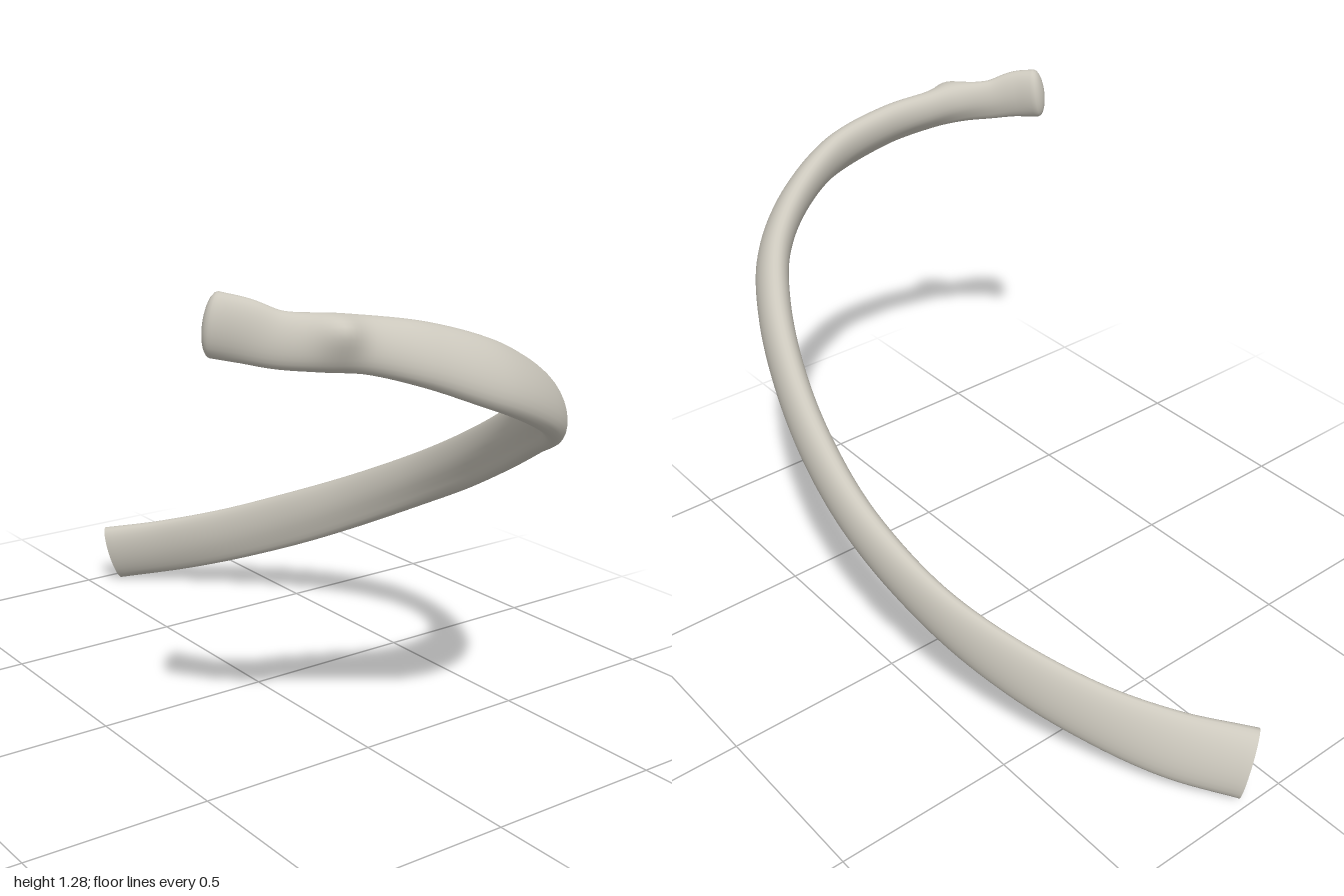
import * as THREE from 'three';

// Stations from the flat rear end to the knobbed head:
// [x, y, z, height, thickness, inward lean of the top edge]
const STATIONS = [
  [0.078, 0.1, -0.963, 0.2, 0.085, 0.3],
  [0.21, 0.14, -0.82, 0.192, 0.066, 0.25],
  [0.33, 0.2, -0.655, 0.18, 0.06, 0.15],
  [0.44, 0.285, -0.46, 0.172, 0.06, 0.08],
  [0.52, 0.385, -0.25, 0.16, 0.068, 0],
  [0.558, 0.51, 0, 0.152, 0.08, 0],
  [0.542, 0.622, 0.22, 0.152, 0.085, 0.05],
  [0.49, 0.735, 0.43, 0.15, 0.087, 0.1],
  [0.41, 0.84, 0.62, 0.15, 0.09, 0.2],
  [0.31, 0.92, 0.77, 0.16, 0.09, 0.35],
  [0.17, 1.0, 0.875, 0.168, 0.09, 0.5],
  [0, 1.08, 0.922, 0.168, 0.09, 0.55],
  [-0.17, 1.143, 0.89, 0.148, 0.085, 0.5],
  [-0.3, 1.174, 0.843, 0.128, 0.08, 0.35],
  [-0.4, 1.185, 0.808, 0.125, 0.075, 0.2],
  [-0.48, 1.192, 0.755, 0.125, 0.06, 0.1],
  [-0.535, 1.21, 0.705, 0.142, 0.065, 0],
  [-0.572, 1.218, 0.657, 0.146, 0.078, 0],
];
const RINGS = 136, SIDES = 28;

function makeGeometry(points, index) {
  const g = new THREE.BufferGeometry().setFromPoints(points);
  g.setIndex(index);
  g.computeVertexNormals();
  return g;
}

export function createModel() {
  const bone = new THREE.MeshStandardMaterial({ color: 0xccc8bd });
  bone.name = 'bone';
  const path = new THREE.CatmullRomCurve3(STATIONS.map((s) => new THREE.Vector3(s[0], s[1], s[2])));
  const sizes = new THREE.CatmullRomCurve3(
    STATIONS.map((s) => new THREE.Vector3(s[3], s[4], s[5])), false, 'catmullrom');
  const up = new THREE.Vector3(0, 1, 0);
  const knob = new THREE.Vector3(-0.385, 1.215, 0.855);
  const knobPush = new THREE.Vector3(-0.25, 0.35, 0.9).normalize();

  // One oval section with a shallow groove low on the inner side
  function ring(u, scale = 1, offset = 0) {
    const size = sizes.getPoint(u);
    const t = path.getTangent(u);
    const v = up.clone().addScaledVector(t, -t.y).normalize();
    const a = v.applyAxisAngle(t, size.z);
    const b = t.clone().cross(a);
    const c = path.getPoint(u).addScaledVector(t, offset);
    const grooveDepth = 0.2 * Math.sin(Math.PI * u);
    const out = [];
    for (let j = 0; j < SIDES; j++) {
      const q = (j / SIDES) * Math.PI * 2;
      const groove = 1 - grooveDepth * Math.exp(-(((q - 2.15) / 0.4) ** 2));
      const p = c.clone()
        .addScaledVector(a, Math.cos(q) * size.x * 0.5 * scale)
        .addScaledVector(b, Math.sin(q) * size.y * 0.5 * scale * groove);
      // Small tubercle on the outer side of the neck
      const d = p.distanceTo(knob) / 0.05;
      p.addScaledVector(knobPush, 0.034 * Math.exp(-d * d));
      out.push(p);
    }
    return out;
  }

  // Shaft, finished with a rounded head
  const rings = [];
  for (let i = 0; i <= RINGS; i++) rings.push(ring(i / RINGS));
  for (const k of [0.3, 0.6, 0.85, 1.1, 1.35]) rings.push(ring(1, Math.cos(k), 0.024 * Math.sin(k)));
  const points = rings.flat();
  const index = [];
  for (let i = 0; i < rings.length - 1; i++) {
    for (let j = 0; j < SIDES; j++) {
      const k = (j + 1) % SIDES;
      const p = i * SIDES, q = p + SIDES;
      index.push(p + j, p + k, q + k, p + j, q + k, q + j);
    }
  }
  const last = (rings.length - 1) * SIDES;
  points.push(path.getPoint(1).addScaledVector(path.getTangent(1), 0.024));
  for (let j = 0; j < SIDES; j++) index.push(last + j, last + ((j + 1) % SIDES), points.length - 1);
  const shaft = new THREE.Mesh(makeGeometry(points, index), bone);
  shaft.name = 'ribShaft';

  // Flat, slightly hollow rear end
  const capPoints = [...ring(0), path.getPoint(0).addScaledVector(path.getTangent(0), 0.008)];
  const capIndex = [];
  for (let j = 0; j < SIDES; j++) capIndex.push(SIDES, (j + 1) % SIDES, j);
  const cap = new THREE.Mesh(makeGeometry(capPoints, capIndex), bone);
  cap.name = 'rearEndFace';

  const model = new THREE.Group();
  model.name = 'rib';
  model.add(shaft, cap);
  return model;
}
